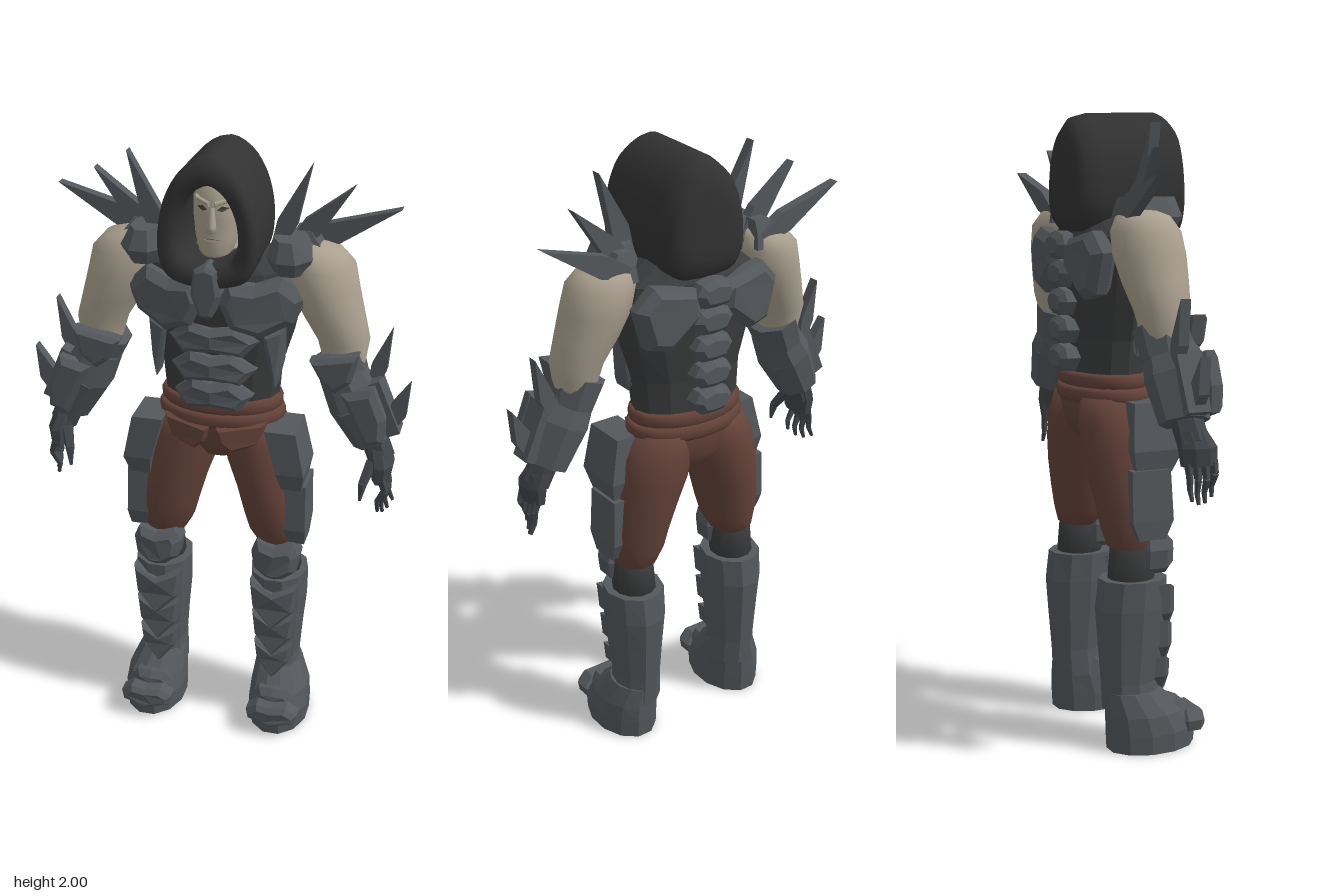
import * as THREE from 'three';

const mat = (name, color) => Object.assign(new THREE.MeshStandardMaterial({ color }), { name });

// Skins a list of equal-length closed sections, with capped ends.
function skin(sections, flat) {
  const n = sections[0].length, pos = [], idx = [];
  sections.forEach(s => s.forEach(p => pos.push(...p)));
  for (let i = 0; i < sections.length - 1; i++) for (let j = 0; j < n; j++) {
    const k = (j + 1) % n, a = i * n + j, b = i * n + k;
    idx.push(a, b, a + n, b, b + n, a + n);
  }
  [sections[0], sections.at(-1)].forEach((s, e) => {
    const c = pos.length / 3, base = e ? (sections.length - 1) * n : 0;
    for (let a = 0; a < 3; a++) pos.push(s.reduce((t, p) => t + p[a], 0) / n);
    for (let j = 0; j < n; j++) {
      const k = (j + 1) % n;
      idx.push(c, base + (e ? j : k), base + (e ? k : j));
    }
  });
  let g = new THREE.BufferGeometry();
  g.setAttribute('position', new THREE.Float32BufferAttribute(pos, 3));
  g.setIndex(idx);
  if (flat) g = g.toNonIndexed();
  g.computeVertexNormals();
  return g;
}

// Stack of horizontal rings, each [cx, y, cz, rx, rz].
function loft(rings, n = 20, flat = false) {
  const m = 1 / Math.cos(Math.PI / n);
  return skin([...rings].sort((a, b) => a[1] - b[1]).map(([cx, y, cz, rx, rz]) =>
    Array.from({ length: n }, (_, j) => {
      const a = (j + 0.5) / n * Math.PI * 2;
      return [cx + rx * m * Math.sin(a), y, cz + rz * m * Math.cos(a)];
    })), flat);
}

// Bevelled armour plate spanning z0..z1, bent round the body by z -= bend * x^2.
function plate(pts, z0, z1, bevel = 0.015, bend = 0, dx = 0) {
  const t = Math.min(bevel, (z1 - z0) * 0.45);
  const g = new THREE.ExtrudeGeometry(new THREE.Shape(pts.map(p => new THREE.Vector2(...p))), {
    depth: z1 - z0 - 2 * t, bevelEnabled: bevel > 0, bevelSegments: 1,
    bevelThickness: t, bevelSize: bevel, bevelOffset: -bevel,
  });
  g.translate(0, 0, z0 + t);
  const p = g.attributes.position;
  for (let i = 0; i < p.count; i++) p.setZ(i, p.getZ(i) - bend * p.getX(i) ** 2);
  g.translate(dx, 0, 0);
  g.computeVertexNormals();
  return g;
}
const symmetric = half => [...half, ...half.filter(p => p[0] > 0).reverse().map(([x, y]) => [-x, y])];

// Flat blade from base to tip, thickness t about z.
function spike([bx, by], [tx, ty], w, z, t = 0.034) {
  const L = Math.hypot(tx - bx, ty - by), nx = -(ty - by) / L * w, ny = (tx - bx) / L * w;
  const mx = bx + (tx - bx) * 0.3, my = by + (ty - by) * 0.3;
  return plate([[bx + nx * 0.6, by + ny * 0.6], [mx + nx, my + ny], [tx, ty],
    [mx - nx, my - ny], [bx - nx * 0.6, by - ny * 0.6]], z - t / 2, z + t / 2, 0);
}

// Faceted tapered bar between two points.
function bar(a, b, ra, rb, n = 6, depth = 1) {
  const A = new THREE.Vector3(...a), B = new THREE.Vector3(...b), d = B.clone().sub(A);
  let g = new THREE.CylinderGeometry(rb, ra, d.length(), n, 1).toNonIndexed();
  g.rotateY(Math.PI / n).scale(1, 1, depth);
  g.applyQuaternion(new THREE.Quaternion().setFromUnitVectors(new THREE.Vector3(0, 1, 0), d.normalize()));
  g.translate(...A.add(B).multiplyScalar(0.5).toArray());
  g.computeVertexNormals();
  return g;
}

function mirrored(geo) {
  const g = geo.clone();
  g.scale(-1, 1, 1);
  const src = g.index ? [...g.index.array] : Array.from({ length: g.attributes.position.count }, (_, i) => i);
  for (let i = 0; i < src.length; i += 3) [src[i], src[i + 1]] = [src[i + 1], src[i]];
  g.setIndex(src);
  return g;
}

export function createModel() {
  const model = new THREE.Group();
  model.name = 'hoodedWarrior';
  const armour = mat('slateArmour', 0x54585c), skinTone = mat('paleSkin', 0xaaa08f), cloth = mat('brownCloth', 0x65433a);
  const hoodMat = mat('blackHood', 0x323232), suit = mat('darkSuit', 0x3b3c3d), glove = mat('darkGlove', 0x424549);
  const eyeMat = mat('eyeShadow', 0x4a443d), lip = mat('lip', 0x857a6c);
  const add = (name, geo, m) => {
    const mesh = new THREE.Mesh(geo, m);
    mesh.name = name;
    model.add(mesh);
  };
  const pair = (name, geo, m) => { add(name + 'Left', geo, m); add(name + 'Right', mirrored(geo), m); };

  // Hood: outer shell from the back, over the rim and into the recess
  const half = [[0, 2], [-0.07, 1.965], [-0.12, 1.89], [-0.145, 1.8], [-0.148, 1.7], [-0.12, 1.635], [-0.06, 1.61], [0, 1.605]];
  const outline = [...half, ...half.slice(1, -1).reverse().map(([x, y]) => [-x, y])];
  const curve = new THREE.CatmullRomCurve3(outline.map(([x, y]) => new THREE.Vector3(x, y, 0)), true);
  const hoodLoop = curve.getPoints(42).slice(0, 42);
  add('hood', skin([[-0.172, 0.5], [-0.165, 0.75], [-0.14, 0.91], [-0.09, 0.97], [0.05, 0.99], [0.165, 1], [0.185, 0.96],
    [0.19, 0.82], [0.18, 0.66], [0.15, 0.6], [0.02, 0.6]].map(([z, s]) =>
    hoodLoop.map(p => [p.x * s, 1.78 + (p.y - 1.78) * s, z - (s > 0.9 && z > 0.16 ? Math.max(0, p.y - 1.93) * 0.3 : 0)]))), hoodMat);

  // Head and face
  add('neck', loft([[0, 1.56, 0, 0.085, 0.08], [0, 1.72, 0.01, 0.065, 0.065]], 16), skinTone);
  add('head', loft([[0, 1.665, 0.06, 0.03, 0.035], [0, 1.685, 0.05, 0.05, 0.055], [0, 1.73, 0.03, 0.066, 0.074], [0, 1.79, 0.02, 0.074, 0.08],
    [0, 1.85, 0.02, 0.074, 0.082], [0, 1.9, 0.01, 0.055, 0.065], [0, 1.92, 0, 0.025, 0.03]], 18), skinTone);
  add('nose', loft([[0, 1.757, 0.103, 0.014, 0.022], [0, 1.775, 0.103, 0.012, 0.02], [0, 1.83, 0.098, 0.007, 0.01]], 8), skinTone);
  pair('brow', plate([[0.008, 1.833], [0.055, 1.848], [0.055, 1.86], [0.008, 1.849]], 0.085, 0.112, 0.004, 8), skinTone);
  pair('eye', plate([[0.015, 1.824], [0.03, 1.818], [0.048, 1.828], [0.03, 1.835]], 0.097, 0.106, 0, 8), eyeMat);
  add('mouth', plate(symmetric([[0, 1.737], [0.027, 1.73], [0, 1.727]]), 0.1, 0.109, 0, 10), lip);

  // Torso suit
  add('torso', loft([[0, 1.17, -0.03, 0.18, 0.115], [0, 1.3, -0.025, 0.19, 0.12], [0, 1.42, -0.025, 0.225, 0.13],
    [0, 1.54, -0.025, 0.25, 0.14], [0, 1.62, -0.03, 0.23, 0.125], [0, 1.69, -0.03, 0.12, 0.09]], 14, true), suit);

  // Chest, collar and abdominal plates
  pair('chestPlate', plate([[0.025, 1.54], [0.05, 1.61], [0.13, 1.6], [0.21, 1.625], [0.285, 1.555], [0.245, 1.475], [0.15, 1.43], [0.06, 1.46]],
    0.07, 0.155, 0.028, 1), armour);
  add('collarPlate', plate(symmetric([[0, 1.68], [0.035, 1.665], [0.045, 1.59], [0.02, 1.52], [0, 1.515]]), 0.11, 0.2, 0.012), armour);
  [[1.41, 0.145], [1.315, 0.135], [1.225, 0.125]].forEach(([y, w], i) => add('abdomenPlate' + (i + 1),
    plate(symmetric([[0, y + 0.042], [w * 0.5, y + 0.055], [w, y], [w * 0.65, y - 0.05], [0, y - 0.035]]), 0.06, 0.142, 0.02, 2.2), armour));
  pair('ribPlate', plate([[0.15, 1.43], [0.215, 1.45], [0.205, 1.32], [0.19, 1.25], [0.17, 1.33]], 0.03, 0.12, 0.012, 1.2), armour);

  // Back plates and spine
  pair('shoulderBlade', plate([[0.04, 1.52], [0.05, 1.61], [0.2, 1.64], [0.26, 1.575], [0.225, 1.45], [0.15, 1.43]],
    -0.195, -0.11, 0.025, -0.3), armour);
  for (let i = 0; i < 5; i++) {
    const y = 1.24 + i * 0.088;
    add('spinePlate' + (i + 1), plate(symmetric([[0, y + 0.042], [0.05, y + 0.032], [0.07, y], [0.045, y - 0.042], [0, y - 0.046]]),
      -0.2 - (i > 3 ? 0.008 : 0), -0.11, 0.018), armour);
  }

  // Shoulder pads with fanned blades
  pair('shoulderPad', loft([[0.225, 1.63, 0.02, 0.05, 0.07], [0.225, 1.68, 0.03, 0.07, 0.09], [0.22, 1.74, 0.03, 0.045, 0.07]], 8, true), armour);
  pair('shoulderPadRear', loft([[0.265, 1.65, -0.06, 0.045, 0.05], [0.265, 1.7, -0.05, 0.04, 0.05], [0.25, 1.74, -0.05, 0.025, 0.035]], 4, true), armour);
  [[[0.18, 1.7], [0.28, 1.96], 0.03, 0.015], [[0.22, 1.69], [0.4, 1.885], 0.032, -0.035], [[0.25, 1.68], [0.535, 1.81], 0.035, -0.088]]
    .forEach((s, i) => pair('shoulderBladeSpike' + (i + 1), spike(...s), armour));

  // Bare arms
  pair('arm', loft([[0.255, 1.705, -0.03, 0.04, 0.04], [0.285, 1.685, -0.03, 0.085, 0.08], [0.305, 1.64, -0.03, 0.105, 0.105],
    [0.32, 1.57, -0.025, 0.105, 0.11], [0.35, 1.49, -0.02, 0.095, 0.1], [0.385, 1.41, -0.015, 0.08, 0.085],
    [0.39, 1.34, -0.01, 0.065, 0.07], [0.4, 1.27, 0, 0.055, 0.06]]), skinTone);

  // Gauntlets: elbow cuff, faceted forearm, guards and spikes
  pair('elbowCuff', bar([0.405, 1.27, 0], [0.37, 1.36, 0], 0.072, 0.082, 8, 1.2), armour);
  pair('elbowGuard', plate([[0.3, 1.37], [0.36, 1.385], [0.45, 1.4], [0.43, 1.31], [0.38, 1.27], [0.34, 1.3]], 0.04, 0.11, 0.015), armour);
  pair('forearmUpper', bar([0.435, 1.215, 0.01], [0.385, 1.31, 0.01], 0.088, 0.072, 8, 1.15), armour);
  pair('forearmLower', bar([0.495, 1.09, 0.005], [0.435, 1.215, 0.01], 0.068, 0.088, 8, 1.15), armour);
  pair('forearmGuard', plate([[0.4, 1.27], [0.5, 1.3], [0.54, 1.2], [0.54, 1.12], [0.48, 1.1], [0.44, 1.18]], 0.05, 0.118, 0.02), armour);
  pair('forearmSideGuard', bar([0.555, 1.12, 0.01], [0.48, 1.29, 0.01], 0.04, 0.045, 4, 1.3), armour);
  pair('elbowSpike', spike([0.485, 1.27], [0.535, 1.455], 0.025, -0.015), armour);
  pair('forearmSpike', spike([0.55, 1.15], [0.603, 1.295], 0.03, 0.015), armour);

  // Hands
  pair('wrist', bar([0.525, 1.03, 0.02], [0.495, 1.1, 0.01], 0.045, 0.045, 6, 1.1), glove);
  pair('palm', loft([[0.53, 0.965, 0.035, 0.027, 0.055], [0.53, 1.02, 0.03, 0.036, 0.058], [0.515, 1.07, 0.015, 0.035, 0.045]], 8, true), glove);
  for (let i = 0; i < 4; i++) {
    const z = -0.005 + i * 0.028, drop = i === 0 || i === 3 ? 0.015 : 0;
    const pts = [[0.535, 0.98, z], [0.548, 0.925 + drop, z], [0.55 - i * 0.008, 0.885 + drop, z], [0.565 - i * 0.012, 0.852 + drop, z]];
    for (let k = 0; k < 3; k++) pair(`finger${i + 1}Joint${k + 1}`, bar(pts[k], pts[k + 1], 0.015 - k * 0.003, 0.012 - k * 0.003, 5), glove);
  }
  pair('thumb', bar([0.5, 1.03, 0.06], [0.48, 0.97, 0.1], 0.02, 0.015, 5), glove);
  pair('thumbTip', bar([0.48, 0.97, 0.1], [0.475, 0.915, 0.11], 0.015, 0.005, 5), glove);

  // Trousers, belt and front flaps
  add('hips', loft([[0, 0.98, -0.035, 0.08, 0.08], [0, 1.03, -0.035, 0.17, 0.11], [0, 1.1, -0.035, 0.195, 0.12], [0, 1.18, -0.03, 0.185, 0.12]]), cloth);
  pair('trouserLeg', loft([[0.1, 1.12, -0.035, 0.095, 0.112], [0.12, 1.04, -0.035, 0.12, 0.122], [0.137, 0.96, -0.032, 0.118, 0.125],
    [0.16, 0.87, -0.025, 0.108, 0.12], [0.178, 0.78, -0.018, 0.1, 0.11], [0.185, 0.71, -0.02, 0.088, 0.095], [0.195, 0.66, -0.025, 0.07, 0.075],
    [0.2, 0.64, -0.025, 0.05, 0.05]]), cloth);
  [[1.17, 0.195, 0.13], [1.125, 0.203, 0.135]].forEach(([y, rx, rz], i) => add('belt' + (i + 1),
    loft([[0, y - 0.025, -0.03, rx - 0.01, rz - 0.01], [0, y - 0.012, -0.03, rx, rz], [0, y + 0.012, -0.03, rx, rz], [0, y + 0.025, -0.03, rx - 0.01, rz - 0.01]], 24), cloth));
  pair('beltFlap', plate([[0.012, 1.11], [0.165, 1.125], [0.145, 1.05], [0.06, 1.03], [0.025, 1.06]], 0.07, 0.122, 0.01, 1.8), cloth);

  // Thigh guards
  pair('thighGuardUpper', loft([[0.25, 0.9, 0.015, 0.032, 0.06], [0.25, 0.97, 0.025, 0.045, 0.085], [0.215, 1.115, 0.03, 0.05, 0.075]], 4, true), armour);
  pair('thighGuardLower', loft([[0.268, 0.69, 0.005, 0.025, 0.045], [0.262, 0.75, 0.005, 0.036, 0.07], [0.255, 0.91, 0, 0.04, 0.065]], 4, true), armour);

  // Knees
  pair('kneeJoint', loft([[0.2, 0.54, -0.025, 0.07, 0.075], [0.2, 0.67, -0.025, 0.06, 0.065]], 12), suit);
  pair('kneePad', plate(symmetric([[0, 0.68], [0.06, 0.695], [0.08, 0.65], [0.07, 0.59], [0.03, 0.565], [0, 0.56]]), 0, 0.105, 0.022, 3, 0.2), armour);

  // Boots with layered shin plates
  pair('bootShaft', loft([[0.2, 0.13, -0.025, 0.075, 0.09], [0.2, 0.22, -0.03, 0.07, 0.09], [0.2, 0.35, -0.025, 0.08, 0.105],
    [0.2, 0.46, -0.025, 0.09, 0.112], [0.2, 0.555, -0.02, 0.092, 0.105]], 10, true), armour);
  [[0.54, 0.37, 0.082], [0.42, 0.26, 0.073], [0.3, 0.16, 0.065]].forEach(([top, low, w], i) => pair('shinPlate' + (i + 1),
    plate(symmetric([[0, top - 0.03], [w, top], [w * 0.85, low + 0.07], [0, low]]), 0.01, 0.112 - i * 0.008, 0.012, 4, 0.2), armour));
  pair('foot', loft([[0.22, 0, 0.035, 0.098, 0.143], [0.22, 0.06, 0.035, 0.1, 0.146], [0.218, 0.12, 0.015, 0.095, 0.127],
    [0.205, 0.19, -0.025, 0.075, 0.09]], 12, true), armour);
  pair('toeCap', plate(symmetric([[0, 0.11], [0.05, 0.115], [0.088, 0.085], [0.08, 0.05], [0.03, 0.045], [0, 0.035]]), 0.13, 0.205, 0.015, 2, 0.22), armour);
  pair('toeRidge', plate(symmetric([[0, 0.15], [0.05, 0.145], [0.075, 0.1], [0, 0.09]]), 0.06, 0.15, 0.02, 3, 0.215), armour);

  return model;
}
